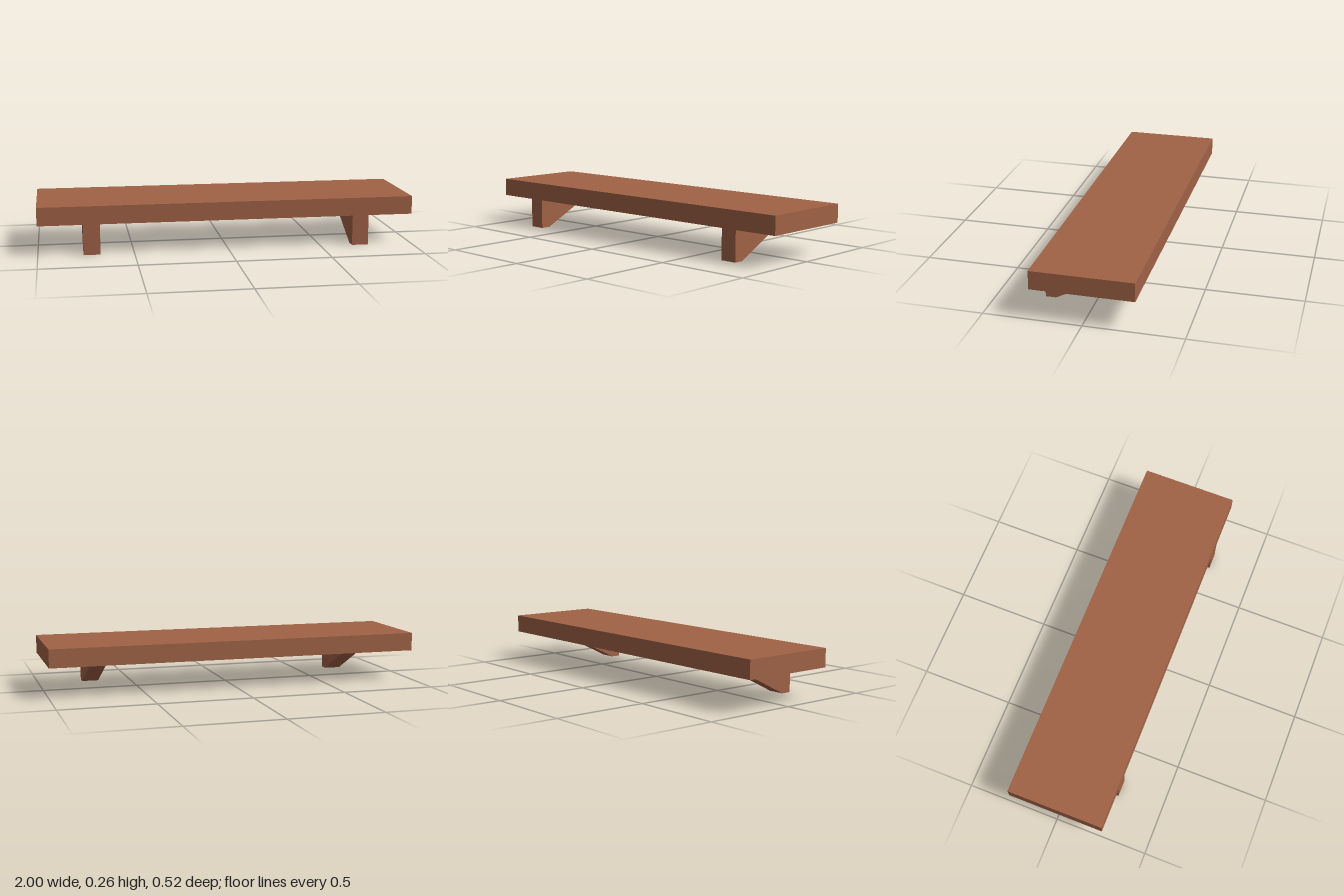
import * as THREE from 'three';

export function createModel() {
  const model = new THREE.Group();
  model.name = 'wallShelf';
  const wood = new THREE.MeshStandardMaterial({ color: 0xa06246 });
  wood.name = 'brown wood';

  // Flat shelf board
  const bottom = 0.162, top = 0.259;
  const board = new THREE.Mesh(new THREE.BoxGeometry(2, top - bottom, 0.52), wood);
  board.name = 'shelfBoard';
  board.position.y = (top + bottom) / 2;
  model.add(board);

  // Bracket side profile (z, y), tapering towards the back
  const profile = new THREE.Shape([
    [0.258, bottom], [-0.092, bottom], [-0.092, 0.15], [0.205, 0], [0.258, 0],
  ].map(([z, y]) => new THREE.Vector2(z, y)));
  const width = 0.088;
  const bracketGeometry = new THREE.ExtrudeGeometry(profile, { depth: width, bevelEnabled: false });
  bracketGeometry.translate(0, 0, -width / 2);
  bracketGeometry.rotateY(-Math.PI / 2);

  // One bracket near each end
  for (const [name, x] of [['leftBracket', 0.717], ['rightBracket', -0.721]]) {
    const bracket = new THREE.Mesh(bracketGeometry, wood);
    bracket.name = name;
    bracket.position.x = x;
    model.add(bracket);
  }
  return model;
}
